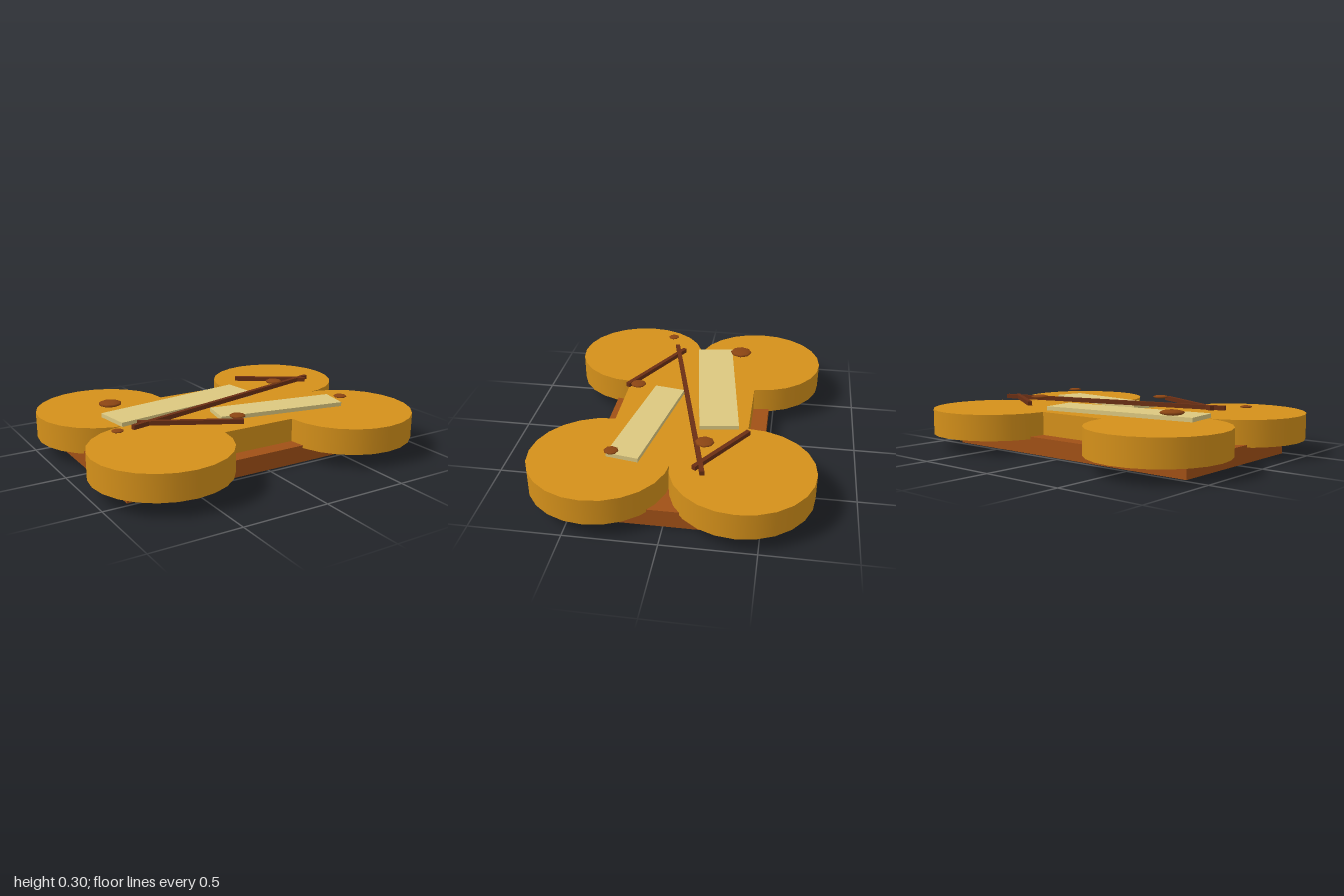
import * as THREE from 'three';

const paint = (color) => new THREE.MeshStandardMaterial({ color });

export function createModel() {
  const model = new THREE.Group();
  const amber = paint(0xd4901a);
  const brown = paint(0xa05016);
  const cream = paint(0xdcc87f);
  const darkBrown = paint(0x6b2f14);
  const rust = paint(0x8b4513);

  const add = (name, geometry, material, x, y, z) => {
    const mesh = new THREE.Mesh(geometry, material);
    mesh.name = name;
    mesh.position.set(x, y, z);
    model.add(mesh);
    return mesh;
  };

  // Slab underneath and the core joining the four lobes
  add('baseSlab', new THREE.BoxGeometry(1.71, 0.1, 0.95), brown, 0, 0.05, 0);
  add('core', new THREE.BoxGeometry(1.26, 0.135, 0.765), amber, 0, 0.1675, 0);

  // Four round corner lobes
  const lobe = new THREE.CylinderGeometry(0.388, 0.388, 0.15, 24);
  for (const sx of [-1, 1]) {
    for (const sz of [-1, 1]) {
      add('cornerLobe', lobe, amber, sx * 0.612, 0.16, sz * 0.384);
    }
  }

  // Pale planks lying on top: x, z, length, width, turn
  for (const [x, z, length, width, turn] of [
    [-0.21, -0.155, 0.95, 0.222, 0.138],
    [0.25, 0.19, 0.768, 0.182, -0.174],
  ]) {
    add('plank', new THREE.BoxGeometry(length, 0.024, width), cream, x, 0.25, z).rotation.y = turn;
  }

  // Thin sticks, each from one end to the other: x1, z1, x2, z2
  for (const [x1, z1, x2, z2] of [
    [-0.665, 0.16, 0.745, -0.187],
    [-0.615, 0.105, -0.1, 0.378],
    [0.325, -0.39, 0.703, -0.137],
  ]) {
    const length = Math.hypot(x2 - x1, z2 - z1);
    const stick = add('stick', new THREE.BoxGeometry(length, 0.025, 0.025), darkBrown,
      (x1 + x2) / 2, 0.277, (z1 + z2) / 2);
    stick.rotation.y = -Math.atan2(z2 - z1, x2 - x1);
  }

  // Flattened beads: x, z, radius
  for (const [x, z, radius] of [
    [-0.612, -0.265, 0.068],
    [0.475, -0.165, 0.053],
    [-0.773, 0.204, 0.034],
    [-0.1, 0.312, 0.047],
    [0.627, 0.312, 0.04],
  ]) {
    const bead = add('bead', new THREE.SphereGeometry(radius, 8, 6), rust, x, 0.29, z);
    bead.scale.y = 0.22;
  }

  return model;
}
